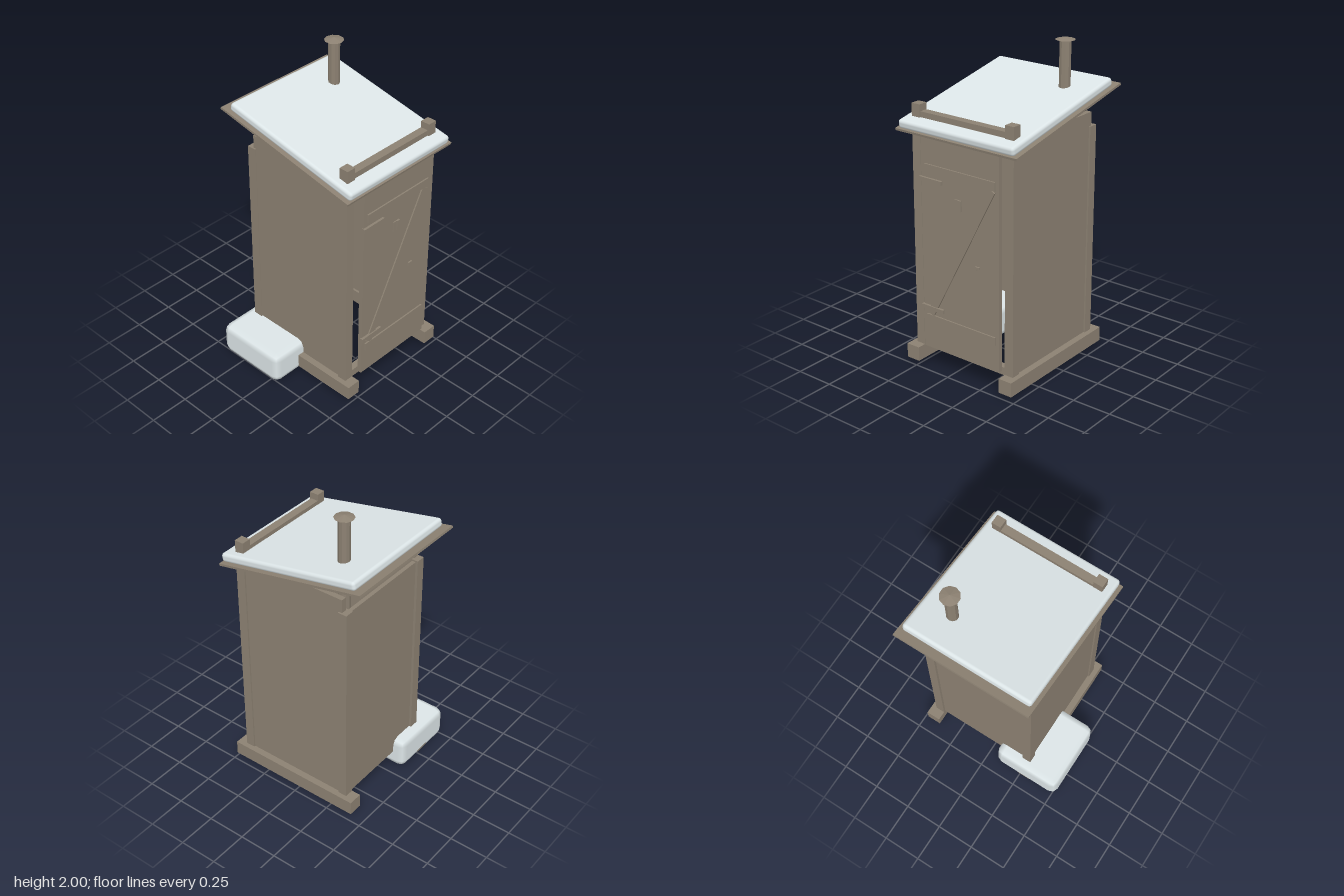
import * as THREE from 'three';
import { RoundedBoxGeometry } from 'three/addons/geometries/RoundedBoxGeometry.js';

export function createModel() {
  const wood = new THREE.MeshStandardMaterial({ color: 0x8c8172 });
  wood.name = 'weathered wood';
  const snow = new THREE.MeshStandardMaterial({ color: 0xdde6e8 });
  snow.name = 'snow';

  const model = new THREE.Group();
  model.name = 'outhouse';

  function add(name, geometry, material, x, y, z, parent = model) {
    const mesh = new THREE.Mesh(geometry, material);
    mesh.name = name;
    mesh.position.set(x, y, z);
    parent.add(mesh);
    return mesh;
  }
  // Wooden box given by its extents along each axis
  function board(name, [x0, x1], [y0, y1], [z0, z1], parent = model) {
    return add(name, new THREE.BoxGeometry(x1 - x0, y1 - y0, z1 - z0), wood,
      (x0 + x1) / 2, (y0 + y1) / 2, (z0 + z1) / 2, parent);
  }

  // Skids, corner posts and side walls, one set for each side
  const middle = 0.075;
  for (const [label, s] of [['left', 1], ['right', -1]]) {
    const span = (a, b) => [middle + s * a, middle + s * b].sort((p, q) => p - q);
    board(label + 'Skid', span(0.31, 0.402), [0.03, 0.122], [-0.42, 0.493]);
    board(label + 'FrontPost', span(0.31, 0.37), [0.12, 1.652], [0.375, 0.435]);
    board(label + 'BackPost', span(0.31, 0.37), [0.12, 1.47], [-0.36, -0.3]);
    board(label + 'Wall', span(0.325, 0.36), [0.12, 1.555], [-0.322, 0.38]);
  }

  // Back wall, threshold and the rail above the eave
  board('backWall', [-0.24, 0.39], [0.112, 1.46], [-0.345, -0.32]);
  board('threshold', [-0.24, 0.39], [0.115, 0.165], [0.385, 0.43]);
  board('roofRail', [-0.24, 0.39], [1.555, 1.61], [0.376, 0.427]);

  // Door with battens, brace and fittings, sagging slightly from its hinges
  const door = new THREE.Group();
  door.name = 'door';
  model.add(door);
  board('doorPanel', [-0.198, 0.374], [0.15, 1.495], [0.447, 0.473], door);
  board('upperBatten', [-0.17, 0.35], [1.272, 1.325], [0.47, 0.482], door);
  board('lowerBatten', [-0.17, 0.35], [0.32, 0.37], [0.47, 0.482], door);
  for (const y of [0.417, 1.23]) {
    board('hinge', [-0.204, -0.038], [y - 0.012, y + 0.012], [0.465, 0.488], door);
  }
  const from = new THREE.Vector2(-0.14, 0.375), to = new THREE.Vector2(0.325, 1.27);
  const brace = add('diagonalBrace',
    new THREE.BoxGeometry(0.05, from.distanceTo(to), 0.011), wood,
    (from.x + to.x) / 2, (from.y + to.y) / 2, 0.4755, door);
  brace.rotation.z = -Math.atan2(to.x - from.x, to.y - from.y);
  board('peepholeFrame', [0.054, 0.104], [1.09, 1.156], [0.47, 0.479], door);
  board('peepholeSlat', [0.08, 0.104], [1.09, 1.156], [0.478, 0.484], door);
  board('latch', [0.205, 0.235], [0.768, 0.78], [0.47, 0.482], door);
  board('latchPlate', [0.205, 0.217], [0.757, 0.78], [0.47, 0.482], door);

  // Sloping roof with its cover of snow
  const roof = new THREE.Group();
  roof.name = 'roof';
  roof.position.set(middle, 1.597, 0);
  roof.rotation.x = Math.atan(0.2);
  model.add(roof);
  add('roofBoard', new THREE.BoxGeometry(0.88, 0.014, 1.023), wood, 0, 0, 0, roof);
  add('roofSnow', new RoundedBoxGeometry(0.838, 0.056, 0.97, 2, 0.02), snow,
    0, 0.034, 0.022, roof);

  // Vent pipe and its conical cap
  const pipe = new THREE.CylinderGeometry(0.036, 0.036, 0.69, 10).toNonIndexed();
  pipe.computeVertexNormals();
  add('ventPipe', pipe, wood, 0.3, 1.645, -0.235);
  const cap = new THREE.ConeGeometry(0.06, 0.016, 10).toNonIndexed();
  cap.computeVertexNormals();
  add('ventCap', cap, wood, 0.3, 1.992, -0.235);

  // Snowdrift around the back of the right skid
  add('snowdrift', new RoundedBoxGeometry(0.455, 0.208, 0.485, 1, 0.045), snow,
    -0.293, 0.104, -0.178);

  return model;
}
